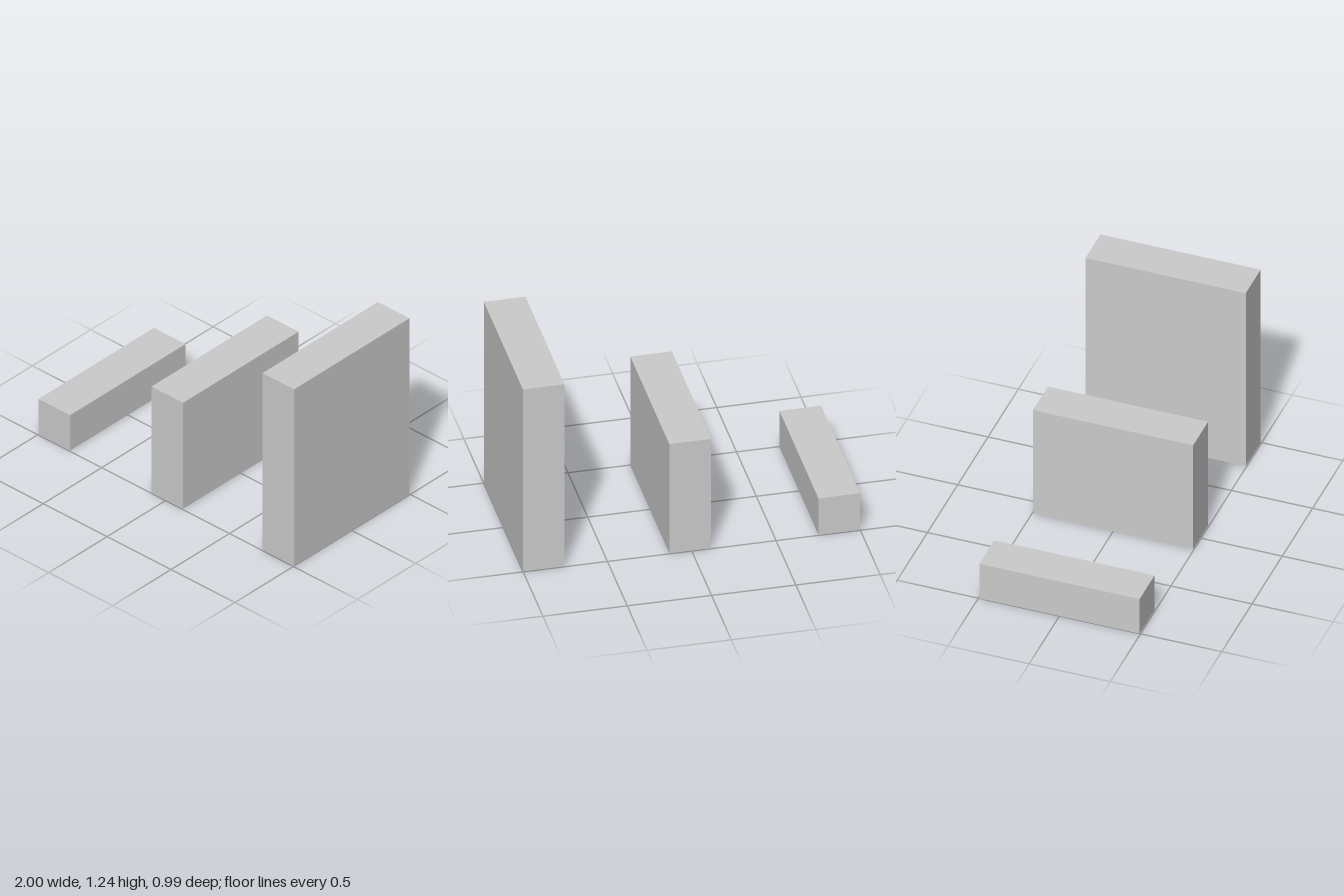
import * as THREE from 'three';

export function createModel() {
  const group = new THREE.Group();
  const material = new THREE.MeshStandardMaterial({ color: 0xcccccc, flatShading: true });
  const unit = 0.247; // block width; heights and depth are multiples of it

  // Three separate blocks rising from right to left
  const blocks = [
    { name: 'lowBlock', x: -1 + unit / 2, height: unit },
    { name: 'middleBlock', x: 0.008, height: unit * 3 },
    { name: 'tallBlock', x: 1 - unit / 2, height: unit * 5 },
  ];
  for (const { name, x, height } of blocks) {
    const block = new THREE.Mesh(new THREE.BoxGeometry(unit, height, unit * 4), material);
    block.name = name;
    block.position.set(x, height / 2, 0);
    group.add(block);
  }
  return group;
}
